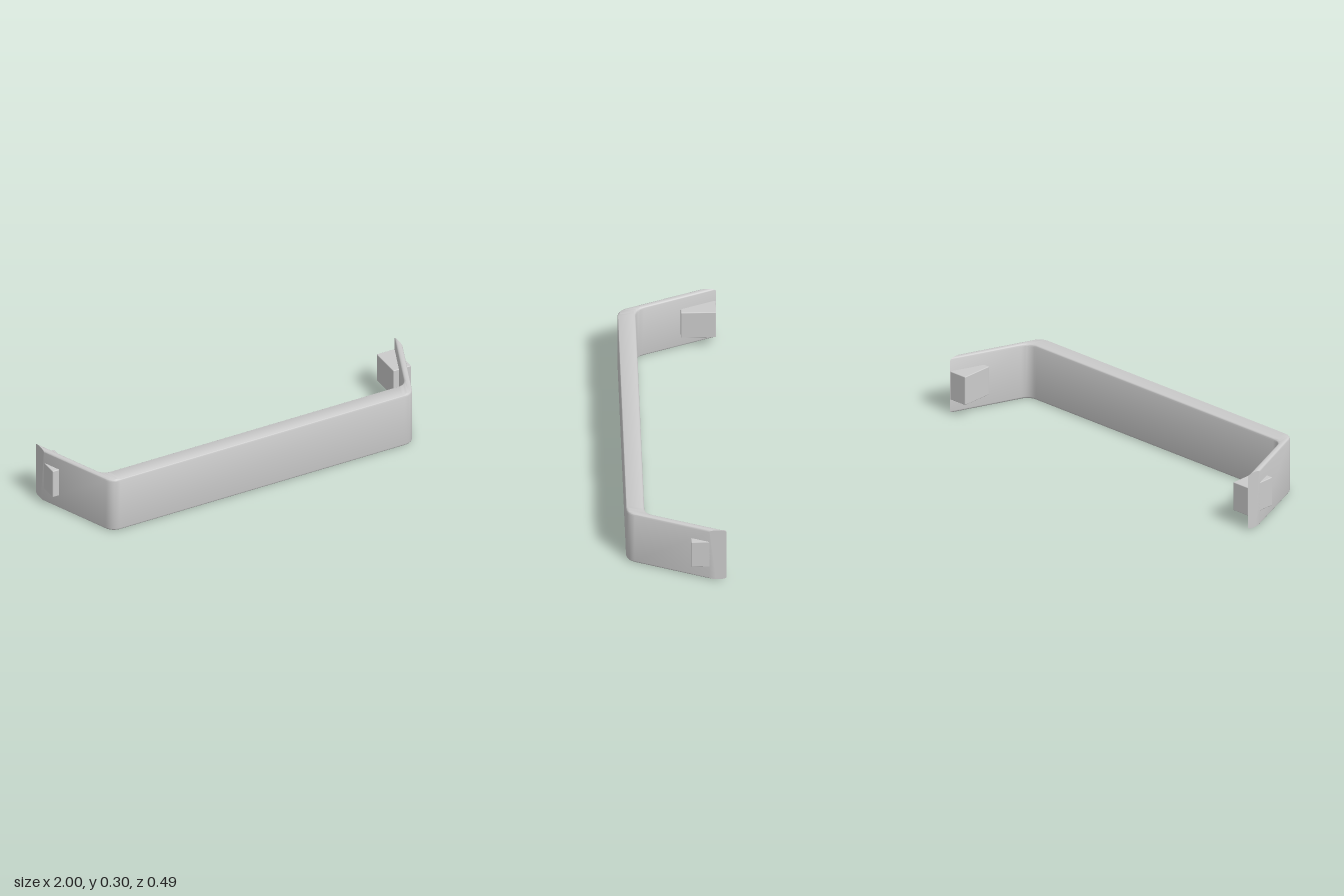
import * as THREE from 'three';
import { toCreasedNormals } from 'three/addons/utils/BufferGeometryUtils.js';
import { RoundedBoxGeometry } from 'three/addons/geometries/RoundedBoxGeometry.js';

const H = 0.296, R = 0.012;      // bar height and edge rounding
const SLOPE = 0.4;               // sideways lean of the legs, dx per -dz
const STRETCH = Math.hypot(1, SLOPE);

// Plan-view path of the outer or inner wall, inset by d, from +x end to -x end
function wallPath(outer, d) {
  const s = outer ? -1 : 1;
  const c = (outer ? 0.936 : 0.902) + s * STRETCH * d;
  const z = outer ? 0.243 - d : 0.153 + d;
  const a = 0.045;
  const corner = new THREE.Vector2(c - SLOPE * z, z);
  const legDir = new THREE.Vector2(SLOPE, -1).normalize();
  const bend = new THREE.QuadraticBezierCurve(
    corner.clone().addScaledVector(legDir, a), corner,
    new THREE.Vector2(corner.x - a, z));
  const half = [new THREE.Vector2(1, (c - 1) / SLOPE), ...bend.getPoints(8)];
  return [...half, ...half.map(p => new THREE.Vector2(-p.x, p.y)).reverse()];
}

// Bent bar: a rounded cross-section carried along both walls, cut flat at x = +-1
function barGeometry() {
  const N = 4, layers = [];
  for (const top of [false, true]) {
    for (let k = 0; k <= N; k++) {
      const t = (top ? N - k : k) / N * Math.PI / 2;
      const d = R * (1 - Math.sin(t)), h = R * (1 - Math.cos(t));
      layers.push([d, top ? H - h : h]);
    }
  }
  const ring = [
    ...layers.map(([d, y]) => ({ path: wallPath(true, d), y })),
    ...layers.slice().reverse().map(([d, y]) => ({ path: wallPath(false, d), y })),
  ];
  const n = ring.length, stations = ring[0].path.length;
  const pos = [], idx = [];
  for (let i = 0; i < stations; i++) {
    for (const { path, y } of ring) pos.push(path[i].x, y, path[i].y);
  }
  for (let i = 0; i < stations - 1; i++) {
    for (let j = 0; j < n; j++) {
      const a = i * n + j, b = i * n + (j + 1) % n;
      idx.push(a, b, a + n, b, b + n, a + n);
    }
  }
  // Flat end cuts
  const last = (stations - 1) * n;
  for (let j = 1; j < n - 1; j++) {
    idx.push(0, j + 1, j, last, last + j, last + j + 1);
  }
  const g = new THREE.BufferGeometry();
  g.setAttribute('position', new THREE.Float32BufferAttribute(pos, 3));
  g.setIndex(idx);
  return toCreasedNormals(g, 0.6);
}

export function createModel() {
  const model = new THREE.Group();
  model.name = 'bracketHandle';
  const material = new THREE.MeshStandardMaterial({ color: 0xcccccc });

  const bar = new THREE.Mesh(barGeometry(), material);
  bar.name = 'bentBar';
  model.add(bar);

  // Blocks set through the leg ends
  const blockGeometry = new RoundedBoxGeometry(0.1, 0.152, 0.173, 2, 0.004);
  for (const side of [1, -1]) {
    const block = new THREE.Mesh(blockGeometry, material);
    block.name = side > 0 ? 'leftMountingBlock' : 'rightMountingBlock';
    block.position.set(side * 0.95, 0.15, -0.1575);
    model.add(block);
  }
  return model;
}
